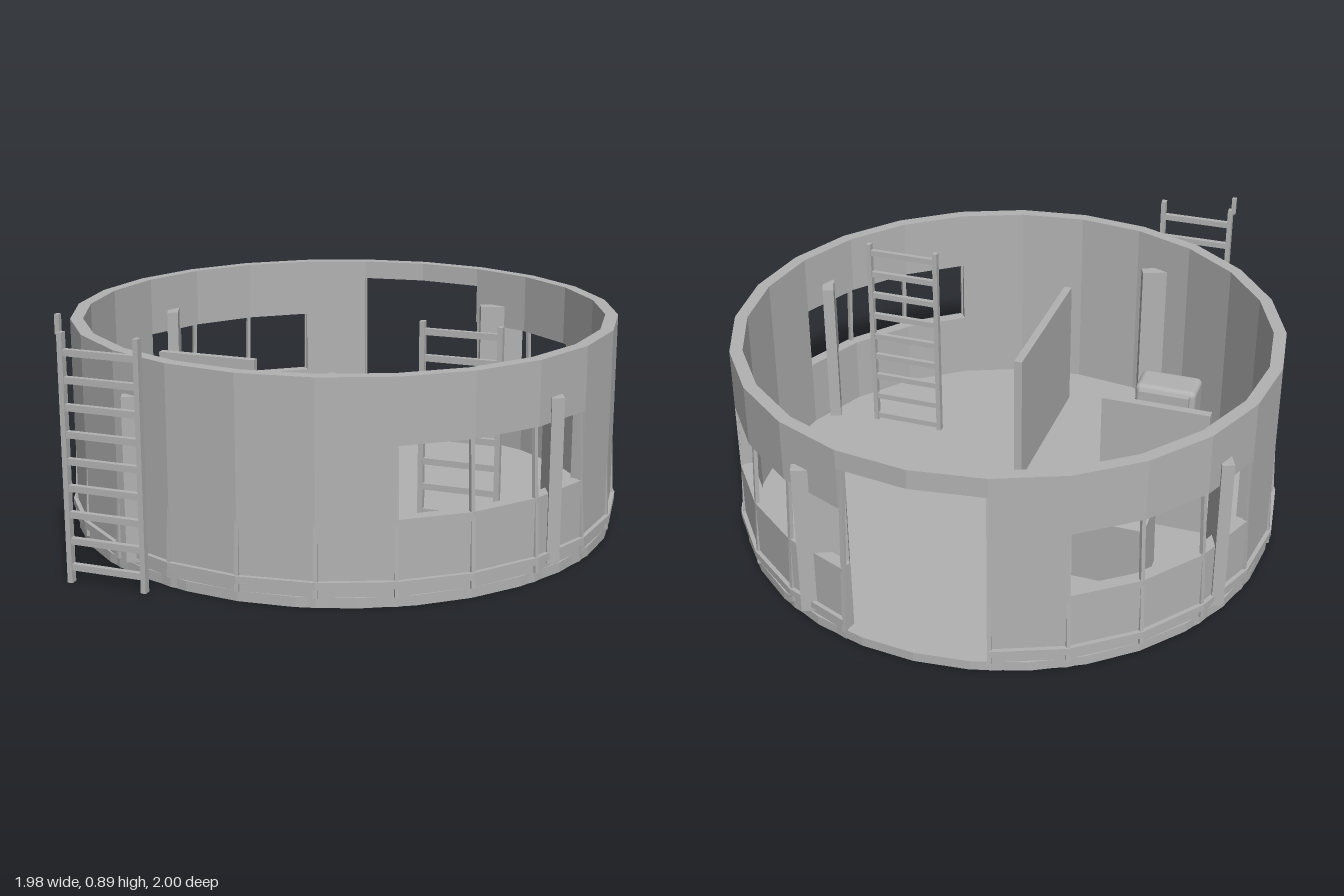
import * as THREE from 'three';
import { RoundedBoxGeometry } from 'three/addons/geometries/RoundedBoxGeometry.js';

const grey = new THREE.MeshStandardMaterial({ color: 0xb2b2b2 });
grey.name = 'grey';
const CZ = -0.03;          // centre of the round room
const R_OUT = 0.975, R_IN = 0.93;
const FLOOR = 0.035;
const rad = THREE.MathUtils.degToRad;

function add(parent, name, geometry, x = 0, y = 0, z = 0) {
  const mesh = new THREE.Mesh(geometry, grey);
  mesh.name = name;
  mesh.position.set(x, y, z);
  parent.add(mesh);
  return mesh;
}

// box given by its limits
function block(parent, name, x0, x1, y0, y1, z0, z1) {
  return add(parent, name, new THREE.BoxGeometry(x1 - x0, y1 - y0, z1 - z0),
    (x0 + x1) / 2, (y0 + y1) / 2, (z0 + z1) / 2);
}

// faceted arc of wall, angles in degrees from +x towards +z, 15 degrees a facet
function arc(parent, name, a0, a1, y0, y1, rIn = R_IN, rOut = R_OUT) {
  const pts = [];
  const put = (a, r) => pts.push(new THREE.Vector2(r * Math.cos(rad(a)), -r * Math.sin(rad(a))));
  for (let a = a0; a <= a1; a += 15) put(a, rOut);
  for (let a = a1; a >= a0; a -= 15) put(a, rIn);
  const geo = new THREE.ExtrudeGeometry(new THREE.Shape(pts), { depth: y1 - y0, bevelEnabled: false });
  geo.rotateX(-Math.PI / 2);
  return add(parent, name, geo, 0, y0, 0);
}

// ladder with square uprights and evenly spaced rungs
function ladder(parent, name, x0, x1, y0, y1, z0, z1) {
  const g = new THREE.Group();
  g.name = name;
  parent.add(g);
  block(g, 'ladderUpright', x0, x0 + 0.018, y0, y1, z0, z1);
  block(g, 'ladderUpright', x1 - 0.018, x1, y0, y1, z0, z1);
  for (let i = 0; i < 9; i++) {
    const y = 0.055 + i * 0.09;
    block(g, 'ladderRung', x0 + 0.01, x1 - 0.01, y - 0.011, y + 0.011, z0 + 0.003, z1 - 0.003);
  }
  return g;
}

export function createModel() {
  const model = new THREE.Group();
  model.name = 'roundRoom';
  const shell = new THREE.Group();
  shell.name = 'shell';
  shell.position.z = CZ;
  model.add(shell);

  // floor
  const floorGeo = new THREE.CylinderGeometry(R_OUT, R_OUT, FLOOR, 32).toNonIndexed();
  floorGeo.computeVertexNormals();
  add(shell, 'floor', floorGeo, 0, FLOOR / 2, 0);

  // wall in bands, leaving three windows and a doorway at the back
  arc(shell, 'lowerWall', -75, 255, 0, 0.29);
  for (const [a, b] of [[-30, 15], [60, 195], [240, 255]]) arc(shell, 'middleWall', a, b, 0.29, 0.53);
  arc(shell, 'upperWall', -75, 255, 0.53, 0.68);
  arc(shell, 'topWall', -75, 90, 0.68, 0.75);
  arc(shell, 'topWall', 90, 285, 0.68, 0.75);

  // rail around the foot of the wall
  arc(shell, 'footRail', -75, 255, 0.065, 0.09, 0.96, 0.99);

  // slim ribs leaning inward, showing at the foot and as window bars
  for (let a = -75; a <= 255; a += 15) {
    const holder = new THREE.Group();
    holder.name = 'rib';
    holder.rotation.y = -rad(a);
    shell.add(holder);
    const rib = add(holder, 'ribBar', new THREE.BoxGeometry(0.014, 0.66, 0.014), 0.963, 0.365, 0);
    rib.rotation.z = 0.047;
  }

  // four posts crossing the wall at a slant
  for (let k = 0; k < 4; k++) {
    const holder = new THREE.Group();
    holder.name = 'post';
    holder.rotation.y = -k * Math.PI / 2;
    shell.add(holder);
    const post = add(holder, 'postBoard', new THREE.BoxGeometry(0.042, 0.565, 0.17),
      0.93 * Math.cos(rad(22.5)), 0.3325, 0.93 * Math.sin(rad(22.5)));
    post.rotation.y = rad(22.5);
  }

  // outside ladder with a short grip, and inside ladder
  const outer = ladder(model, 'outsideLadder', -0.585, -0.3, 0, 0.84, 0.97, 0.995);
  block(outer, 'ladderGrip', -0.597, -0.581, 0.83, 0.895, 0.965, 0.982);
  ladder(model, 'insideLadder', 0.395, 0.68, FLOOR, 0.81, 0.297, 0.32);

  // partitions
  block(model, 'sidePartition', -0.745, -0.355, FLOOR, 0.53, -0.052, -0.022);
  block(model, 'frontPartition', -0.015, 0.015, FLOOR, 0.54, 0.08, 0.71);

  // desk leaning slightly back, and stool
  const desk = add(model, 'desk', new THREE.BoxGeometry(0.33, 0.26, 0.16), -0.46, 0.168, -0.373);
  desk.rotation.x = -0.08;
  add(model, 'stool', new THREE.CylinderGeometry(0.063, 0.063, 0.145, 24), -0.195, FLOOR + 0.0725, -0.37);

  // rounded cabinet with a thin back plate
  add(model, 'cabinet', new RoundedBoxGeometry(0.23, 0.38, 0.135, 3, 0.022), -0.51, 0.225, 0.333);
  block(model, 'cabinetBack', -0.605, -0.415, FLOOR, 0.4, 0.247, 0.27);

  return model;
}
